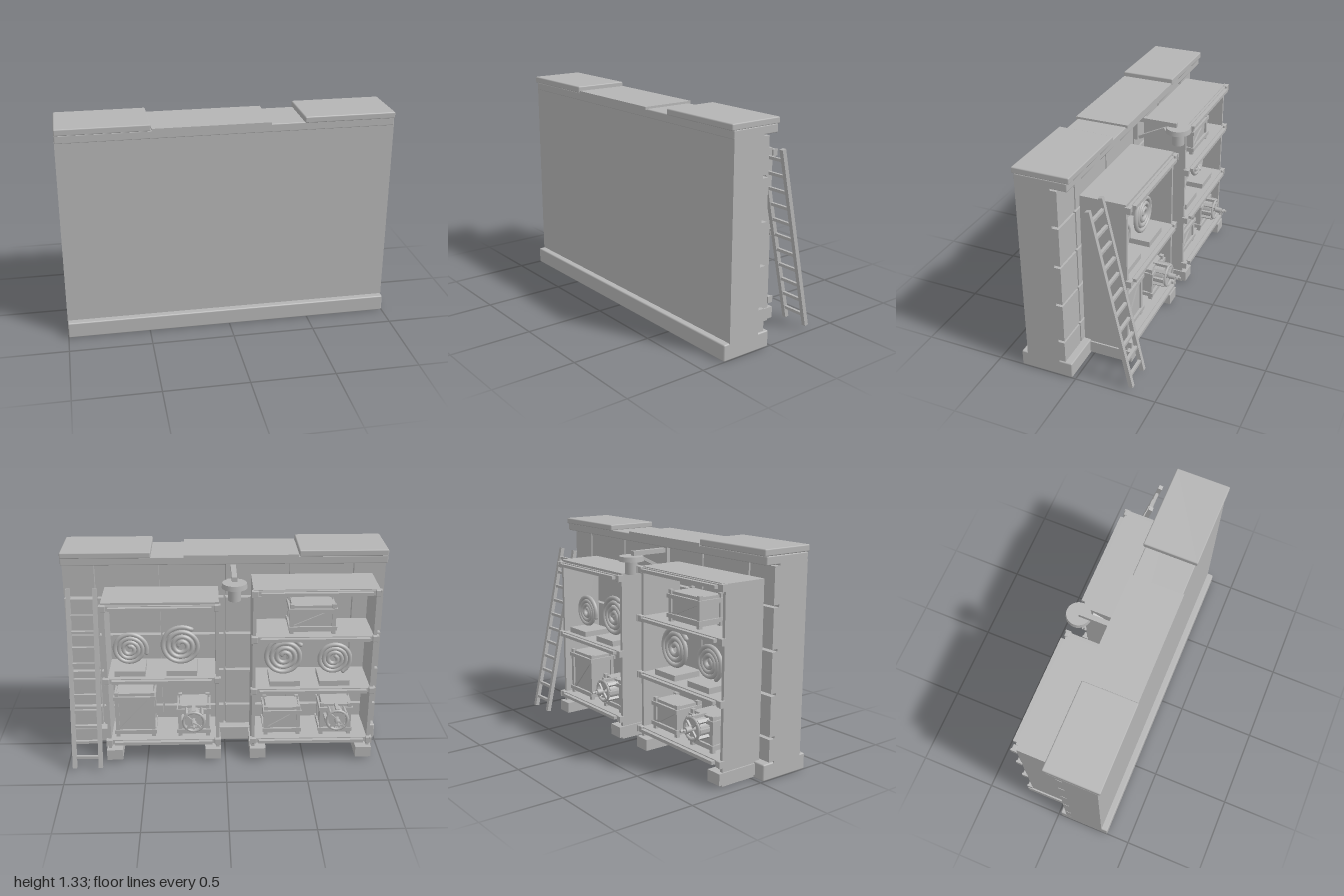
import * as THREE from 'three';
import { RoundedBoxGeometry } from 'three/addons/geometries/RoundedBoxGeometry.js';

const grey = new THREE.MeshStandardMaterial({ color: 0xb4b4b4 });
grey.name = 'plainGrey';

function add(parent, name, geometry, x = 0, y = 0, z = 0) {
  const mesh = new THREE.Mesh(geometry, grey);
  mesh.name = name;
  mesh.position.set(x, y, z);
  parent.add(mesh);
  return mesh;
}

// Box given by its limits on each axis; a bevel rounds the edges
function box(parent, name, x0, x1, y0, y1, z0, z1, bevel = 0) {
  const s = [x1 - x0, y1 - y0, z1 - z0];
  const g = bevel ? new RoundedBoxGeometry(...s, 1, bevel) : new THREE.BoxGeometry(...s);
  return add(parent, name, g, (x0 + x1) / 2, (y0 + y1) / 2, (z0 + z1) / 2);
}

// Square bar between two points
function bar(parent, name, a, b, w, d = w) {
  const from = new THREE.Vector3(...a), to = new THREE.Vector3(...b);
  const mesh = add(parent, name, new THREE.BoxGeometry(w, from.distanceTo(to), d));
  mesh.position.copy(from).lerp(to, 0.5);
  mesh.quaternion.setFromUnitVectors(new THREE.Vector3(0, 1, 0), to.sub(from).normalize());
  return mesh;
}

function group(parent, name, x = 0, y = 0, z = 0) {
  const g = new THREE.Group();
  g.name = name;
  g.position.set(x, y, z);
  parent.add(g);
  return g;
}

function buildWall(root) {
  const wall = group(root, 'wall');
  box(wall, 'wallCore', -1, 1, 0.05, 1.25, 0.1, 0.31);
  box(wall, 'wallBase', -1, 1, 0, 0.1, 0.02, 0.35, 0.008);
  box(wall, 'cornice', -1, 1, 1.24, 1.29, -0.002, 0.312, 0.006);
  box(wall, 'capRight', -1, -0.455, 1.29, 1.33, -0.015, 0.325, 0.007);
  box(wall, 'capMiddle', -0.45, 0.25, 1.285, 1.303, -0.013, 0.32);
  box(wall, 'capLeft', 0.45, 1, 1.287, 1.325, -0.015, 0.325, 0.007);
  // Stone facing on the back, five rows of five blocks
  const rows = [0.1, 0.25, 0.505, 0.76, 1.01, 1.24];
  const cols = [-1, -0.8, -0.4, 0, 0.4, 0.8, 1];
  for (let r = 0; r < 5; r++)
    for (let c = 0; c < 6; c++)
      box(wall, 'facingBlock', cols[c] + (c ? 0.006 : 0), cols[c + 1] - (c < 5 ? 0.006 : 0),
        rows[r] + 0.008, rows[r + 1] - 0.008, 0.06, 0.105);
}

// Open shelving with side panels, feet, boards, corner brackets and rails
function buildShelving(root, name, x0, x1, top, levels) {
  const unit = group(root, name);
  for (const [s, outer] of [[1, x0], [-1, x1]]) {
    const span = (a, b) => [outer + s * a, outer + s * b].sort((p, q) => p - q);
    box(unit, 'sidePanel', ...span(0.01, 0.03), 0.005, top, -0.22, 0.06);
    box(unit, 'foot', ...span(0, 0.1), 0.02, 0.09, -0.25, 0.03);
    box(unit, 'footCore', ...span(0.012, 0.03), 0.004, 0.02, -0.22, 0.02);
    for (const y of levels) {
      box(unit, 'bracketSide', ...span(0, 0.012), y - 0.02, y + 0.02, -0.25, -0.215);
      box(unit, 'bracketFront', ...span(0, 0.04), y - 0.02, y + 0.02, -0.247, -0.22, 0.005);
    }
  }
  for (const y of levels) {
    box(unit, 'shelfBoard', x0 + 0.02, x1 - 0.02, y - 0.015, y + 0.015, -0.235, 0.06);
    box(unit, 'shelfRail', x0 + 0.055, x1 - 0.055, y - 0.01, y + 0.01, -0.26, -0.23);
  }
  box(unit, 'topBoard', x0 + 0.01, x1 - 0.01, top - 0.02, top, -0.22, 0.06);
}

// Wooden crate with framed faces and diagonal braces
function buildCrate(root, x, y, w, h, d, z, braced = true) {
  const crate = group(root, 'crate', x, y, z);
  const t = 0.024, e = 0.012, hw = w / 2, hd = d / 2;
  box(crate, 'crateBody', -hw + e, hw - e, 0.01, h - 0.01, -hd + e, hd - e);
  for (const sx of [-1, 1])
    for (const sz of [-1, 1])
      box(crate, 'cornerPost', sx * (hw - t / 2) - t / 2, sx * (hw - t / 2) + t / 2, 0, h,
        sz * (hd - t / 2) - t / 2, sz * (hd - t / 2) + t / 2);
  for (const yy of [0.025, h - 0.05]) {
    for (const s of [-1, 1]) {
      box(crate, 'crateRail', -hw - 0.008, hw + 0.008, yy, yy + t, s * hd - 0.008, s * hd + 0.008);
      box(crate, 'crateSideRail', s * hw - 0.006, s * hw + 0.006, yy, yy + t, -hd, hd);
    }
  }
  if (braced)
    for (const s of [-1, 1])
      bar(crate, 'crateBrace', [hw - t, 0.045, s * (hd - 0.008)], [-hw + t, h - 0.045, s * (hd - 0.008)], 0.02, 0.012);
  return crate;
}

// Crate holding a ribbed reel with a hub and spindle
function buildReelCrate(root, x, y) {
  buildCrate(root, x, y, 0.2, 0.22, 0.18, -0.1, false);
  const reel = group(root, 'reel', x, 0.295, 0);
  const drum = (name, r, z0, z1, sides) => {
    const m = add(reel, name, new THREE.CylinderGeometry(r, r, z1 - z0, sides), 0, 0, (z0 + z1) / 2);
    m.rotation.x = Math.PI / 2;
  };
  drum('reelDrum', 0.06, -0.245, -0.15, 20);
  const rim = add(reel, 'reelRim', new THREE.TorusGeometry(0.065, 0.009, 8, 24), 0, 0, -0.262);
  rim.scale.z = 0.9;
  for (let i = 0; i < 8; i++) {
    const a = i * Math.PI / 4;
    const rib = add(reel, 'reelRib', new THREE.BoxGeometry(0.022, 0.02, 0.1),
      0.066 * Math.cos(a), 0.066 * Math.sin(a), -0.21);
    rib.rotation.z = a;
    if (i % 2) bar(reel, 'reelSpoke', [0, 0, -0.265], [0.065 * Math.cos(a), 0.065 * Math.sin(a), -0.265], 0.012);
  }
  drum('reelHub', 0.018, -0.31, -0.24, 12);
  drum('spindle', 0.008, -0.345, -0.31, 8);
  bar(reel, 'spindleHandle', [-0.02, 0, -0.325], [0.02, 0, -0.325], 0.01);
}

// Upright spiral of rope standing on a flat plate
function buildCoil(root, x, y, r, start) {
  const coil = group(root, 'ropeCoil', x, y, -0.1);
  box(coil, 'coilPlate', -0.095, 0.095, 0, 0.035, -0.1, 0.09);
  const points = [], turns = 3.3, count = 66, tube = 0.014;
  for (let i = 0; i <= count; i++) {
    const t = i / count, a = start + t * turns * Math.PI * 2;
    const q = 0.02 + (r - tube - 0.02) * t;
    points.push(new THREE.Vector3(q * Math.cos(a), q * Math.sin(a), 0));
  }
  const curve = new THREE.CatmullRomCurve3(points);
  add(coil, 'rope', new THREE.TubeGeometry(curve, 160, tube, 8), 0, r + 0.03, -0.02);
  for (const i of [0, count]) {
    const end = add(coil, 'ropeEnd', new THREE.SphereGeometry(tube, 8, 6));
    end.position.copy(points[i]).add(new THREE.Vector3(0, r + 0.03, -0.02));
  }
}

function buildLadder(root) {
  const ladder = group(root, 'ladder');
  const top = [1.125, -0.092], foot = [0.018, -0.335];
  for (const x of [0.788, 0.95])
    bar(ladder, 'ladderRail', [x, foot[0], foot[1]], [x, top[0], top[1]], 0.026);
  for (let i = 0; i < 11; i++) {
    const t = (i + 0.7) / 11.4;
    const y = foot[0] + (top[0] - foot[0]) * t, z = foot[1] + (top[1] - foot[1]) * t;
    bar(ladder, 'ladderRung', [0.785, y, z], [0.953, y, z], 0.018);
  }
}

// Lamp on a braced wall arm
function buildLamp(root) {
  const lamp = group(root, 'wallLamp', -0.053, 0, 0);
  box(lamp, 'wallPlate', -0.03, 0.045, 1.09, 1.235, 0.035, 0.062);
  box(lamp, 'lampArm', -0.016, 0.016, 1.2, 1.228, -0.205, 0.04);
  bar(lamp, 'armBrace', [0.03, 1.105, 0.03], [0.03, 1.19, -0.14], 0.02);
  add(lamp, 'lampShade', new THREE.CylinderGeometry(0.073, 0.077, 0.03, 28), 0, 1.185, -0.213);
  add(lamp, 'lampBody', new THREE.CylinderGeometry(0.038, 0.038, 0.085, 20), 0, 1.132, -0.213);
}

export function createModel() {
  const root = new THREE.Group();
  root.name = 'storageWall';
  buildWall(root);
  buildShelving(root, 'tallShelving', -0.93, -0.155, 1.155, [0.14, 0.49, 0.84, 1.135]);
  buildShelving(root, 'shortShelving', 0.03, 0.755, 1.08, [0.14, 0.57, 1.05]);
  // Goods on the tall unit
  buildCrate(root, -0.36, 0.155, 0.23, 0.2, 0.18, -0.1);
  buildReelCrate(root, -0.7, 0.155);
  buildCoil(root, -0.37, 0.505, 0.14, 0.6);
  buildCoil(root, -0.68, 0.505, 0.12, 2.2);
  buildCrate(root, -0.53, 0.855, 0.28, 0.19, 0.18, -0.1);
  // Goods on the short unit
  buildCrate(root, 0.57, 0.155, 0.25, 0.31, 0.18, -0.1);
  buildReelCrate(root, 0.2, 0.155);
  buildCoil(root, 0.59, 0.585, 0.12, 1.5);
  buildCoil(root, 0.27, 0.585, 0.14, 0.2);
  buildLadder(root);
  buildLamp(root);
  return root;
}
